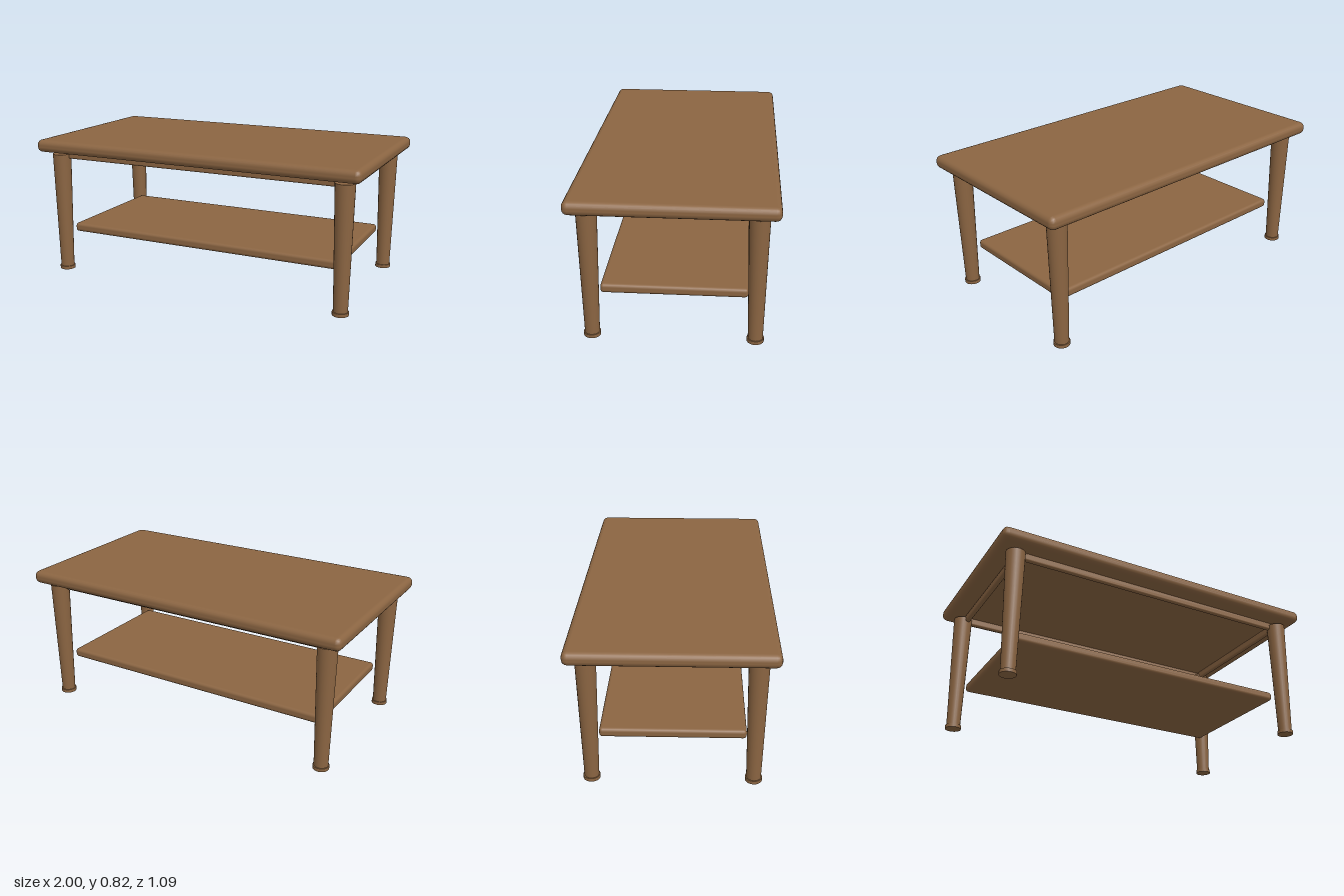
import * as THREE from 'three';
import { RoundedBoxGeometry } from 'three/addons/geometries/RoundedBoxGeometry.js';

export function createModel() {
  const table = new THREE.Group();
  table.name = 'coffeeTable';
  const wood = new THREE.MeshStandardMaterial({ color: 0x8b6542 });
  wood.name = 'brownWood';

  const add = (name, geometry, x, y, z) => {
    const mesh = new THREE.Mesh(geometry, wood);
    mesh.name = name;
    mesh.position.set(x, y, z);
    table.add(mesh);
  };

  // Top and lower shelf with softened edges
  add('tableTop', new RoundedBoxGeometry(2, 0.075, 1.09, 2, 0.032), 0, 0.7825, 0);
  add('shelf', new RoundedBoxGeometry(1.7, 0.053, 0.79, 2, 0.018), 0, 0.2565, 0);

  // Apron rails under the top
  const longRail = new RoundedBoxGeometry(1.78, 0.045, 0.03, 2, 0.01);
  const shortRail = new RoundedBoxGeometry(0.03, 0.045, 0.83, 2, 0.01);
  for (const s of [-1, 1]) {
    add(s > 0 ? 'frontRail' : 'backRail', longRail, 0, 0.7225, s * 0.428);
    add(s > 0 ? 'leftRail' : 'rightRail', shortRail, s * 0.875, 0.7225, 0);
  }

  // Tapered round legs on small foot discs
  const leg = new THREE.CylinderGeometry(0.055, 0.04, 0.71, 24);
  const foot = new THREE.CylinderGeometry(0.046, 0.046, 0.02, 24);
  for (const x of [-0.89, 0.89]) {
    for (const z of [-0.438, 0.438]) {
      const corner = (z > 0 ? 'front' : 'back') + (x > 0 ? 'Left' : 'Right');
      add(corner + 'Leg', leg, x, 0.373, z);
      add(corner + 'Foot', foot, x, 0.01, z);
    }
  }
  return table;
}
